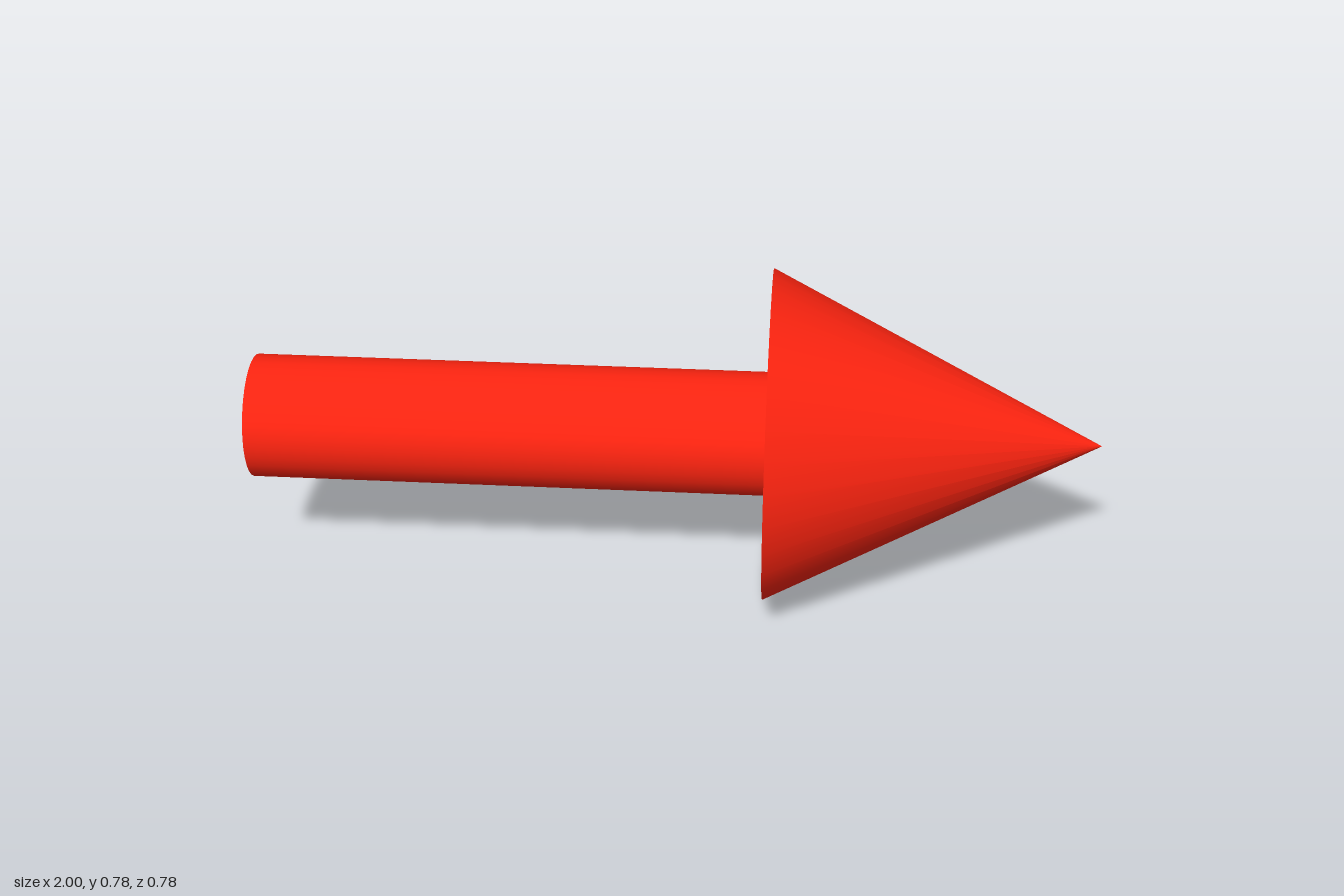
import * as THREE from 'three';

const SIDES = 32;
const AXIS_HEIGHT = 0.391;
const HEAD_START = 0.22;

export function createModel() {
  const group = new THREE.Group();
  group.name = 'arrow';
  const red = new THREE.MeshStandardMaterial({ color: 0xff2410 });

  // Lays an upright geometry along +x, spanning x0 to x1
  function addAlongX(name, geometry, x0, x1) {
    geometry.rotateZ(-Math.PI / 2);
    const mesh = new THREE.Mesh(geometry, red);
    mesh.name = name;
    mesh.position.set((x0 + x1) / 2, AXIS_HEIGHT, 0);
    group.add(mesh);
  }

  // Round shaft with flat ends
  addAlongX('shaft', new THREE.CylinderGeometry(0.146, 0.146, HEAD_START + 1, SIDES), -1, HEAD_START);

  // Pointed head with a flat back
  addAlongX('arrowhead', new THREE.ConeGeometry(AXIS_HEIGHT, 1 - HEAD_START, SIDES), HEAD_START, 1);

  return group;
}
